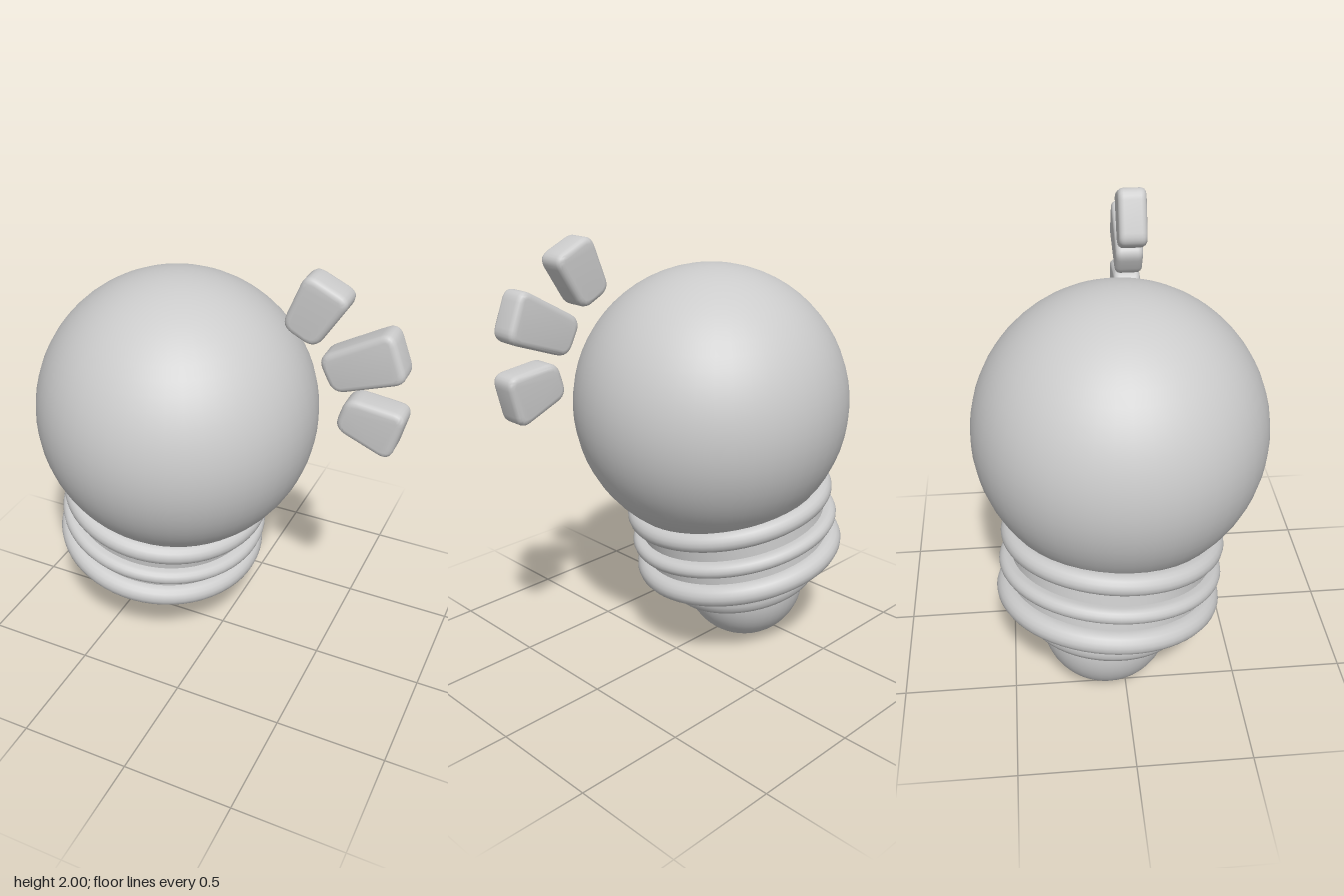
import * as THREE from 'three';
import { toCreasedNormals } from 'three/addons/utils/BufferGeometryUtils.js';

const material = new THREE.MeshStandardMaterial({ color: 0xcccccc, roughness: 0.7 });

function addMesh(parent, name, geometry) {
  const mesh = new THREE.Mesh(geometry, material);
  mesh.name = name;
  parent.add(mesh);
  return mesh;
}

// Base collar, neck and the three rounded thread rings as one turned profile
function socketGeometry() {
  const v = (r, y) => new THREE.Vector2(r, y);
  const neck = 0.435;
  const points = [
    v(0, -0.305), v(0.325, -0.305), v(0.347, -0.297), v(0.36, -0.278), v(0.365, -0.255), v(0.365, -0.185),
  ];
  // each ring: height along the axis, outer radius, half thickness
  const rings = [[-0.135, 0.494, 0.05], [0, 0.489, 0.034], [0.138, 0.487, 0.046]];
  rings.forEach(([y, outer, half], i) => {
    if (i > 0) points.push(v(neck, y - half));
    for (let k = 0; k <= 8; k++) {
      const a = -Math.PI / 2 + (k / 8) * Math.PI;
      points.push(v(outer - half + half * Math.cos(a), y + half * Math.sin(a)));
    }
    points.push(v(i < 2 ? neck : 0.4, y + half));
  });
  return toCreasedNormals(new THREE.LatheGeometry(points, 64), 0.7);
}

// Four-sided block with rounded corners and rounded front and back edges
function rayGeometry(corners) {
  const bevel = 0.025, round = 0.055, front = 0.175, back = 0.049;
  const pts = corners.map(([x, y]) => new THREE.Vector2(x, y));
  const towards = (a, b) => a.clone().add(b.clone().sub(a).setLength(round));
  const shape = new THREE.Shape();
  pts.forEach((p, i) => {
    const start = towards(p, pts[(i + 3) % 4]);
    const end = towards(p, pts[(i + 1) % 4]);
    if (i === 0) shape.moveTo(start.x, start.y);
    else shape.lineTo(start.x, start.y);
    shape.quadraticCurveTo(p.x, p.y, end.x, end.y);
  });
  shape.closePath();
  const geometry = new THREE.ExtrudeGeometry(shape, {
    depth: front - back - 2 * bevel,
    bevelThickness: bevel,
    bevelSize: bevel,
    bevelOffset: -bevel,
    bevelSegments: 4,
    curveSegments: 6,
  });
  geometry.translate(0, 0, back + bevel);
  return toCreasedNormals(geometry, 0.7);
}

export function createModel() {
  const model = new THREE.Group();
  model.name = 'lightBulb';

  // Glass globe
  addMesh(model, 'globe', new THREE.SphereGeometry(0.624, 48, 32)).position.set(-0.219, 1.2, 0);

  // Tilted screw socket
  const socket = addMesh(model, 'socket', socketGeometry());
  socket.position.set(-0.333, 0.585, -0.053);
  socket.quaternion.setFromUnitVectors(
    new THREE.Vector3(0, 1, 0),
    new THREE.Vector3(0.17, 0.98, 0.092).normalize()
  );

  // Rounded contact at the bottom
  addMesh(model, 'contactTip', new THREE.SphereGeometry(0.287, 40, 28)).position.set(-0.385, 0.29, -0.08);

  // Glow rays fanning out at the upper side
  const rays = new THREE.Group();
  rays.name = 'glowRays';
  model.add(rays);
  const outlines = {
    upperRay: [[0.41, 2.015], [0.317, 1.78], [0.46, 1.71], [0.598, 1.93]],
    middleRay: [[0.471, 1.68], [0.545, 1.535], [0.836, 1.643], [0.757, 1.845]],
    lowerRay: [[0.6, 1.532], [0.556, 1.384], [0.793, 1.287], [0.847, 1.505]],
  };
  for (const [name, corners] of Object.entries(outlines)) addMesh(rays, name, rayGeometry(corners));

  return model;
}
